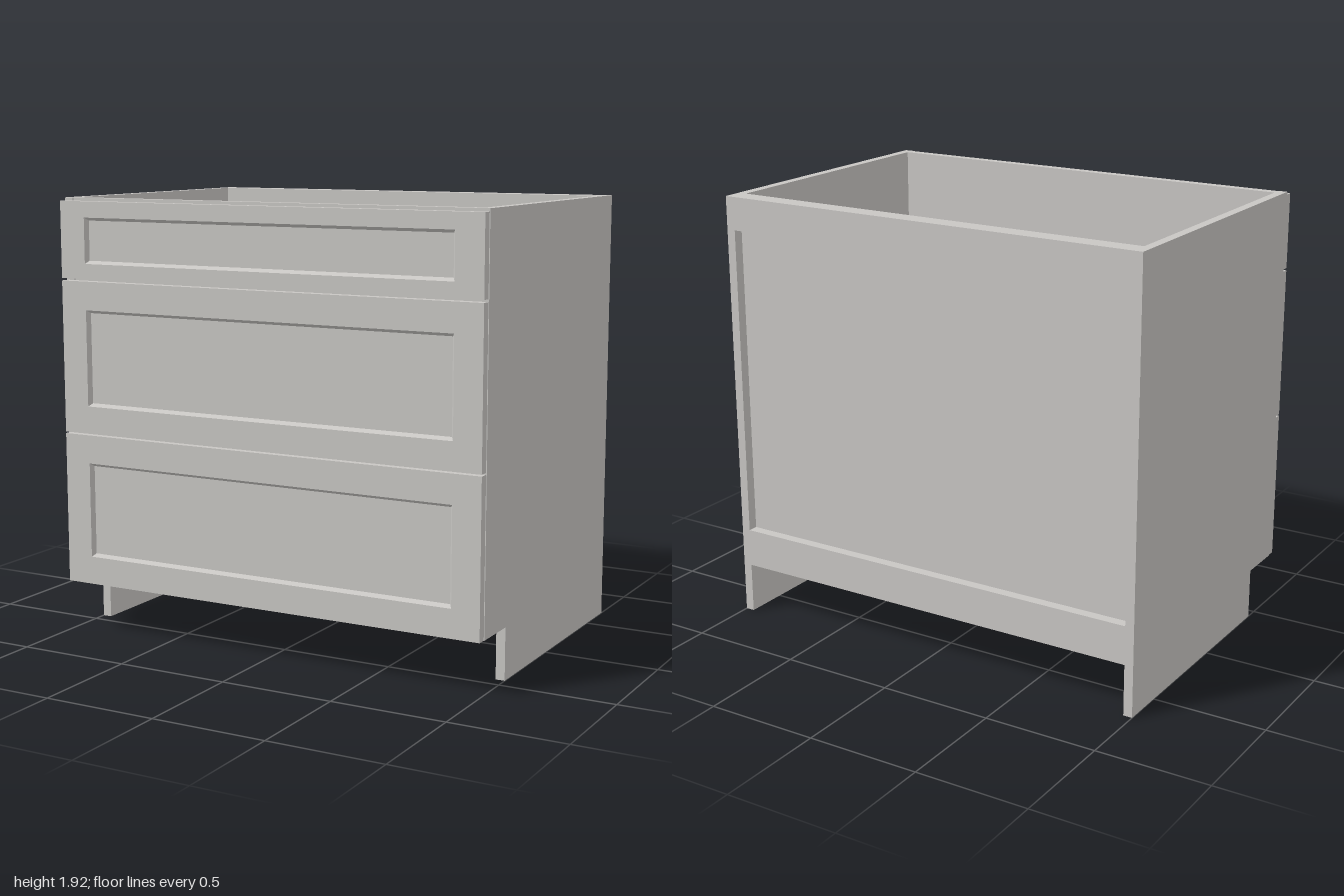
import * as THREE from 'three';

export function createModel() {
  const model = new THREE.Group();
  model.name = 'drawerCabinet';
  const paint = new THREE.MeshStandardMaterial({ color: 0xc8c6c3 });
  paint.name = 'warm grey';

  function add(parent, name, geometry) {
    const mesh = new THREE.Mesh(geometry, paint);
    mesh.name = name;
    parent.add(mesh);
    return mesh;
  }

  // Box given by its limits on each axis
  function slab(parent, name, [x0, x1], [y0, y1], [z0, z1]) {
    const mesh = add(parent, name, new THREE.BoxGeometry(x1 - x0, y1 - y0, z1 - z0));
    mesh.position.set((x0 + x1) / 2, (y0 + y1) / 2, (z0 + z1) / 2);
    return mesh;
  }

  // Drawer front: rectangular rings from the back face, over the edge, into a sunk panel
  function frontGeometry(y0, y1, holeY0, holeY1) {
    const back = 0.65, face = 0.69, sunk = 0.672, holeX = 0.873, slope = 0.013;
    const ring = (x, a, b, z) => [[-x, a, z], [x, a, z], [x, b, z], [-x, b, z]];
    const rings = [
      ring(0.997, y0, y1, back),
      ring(0.997, y0, y1, face),
      ring(holeX, holeY0, holeY1, face),
      ring(holeX - slope, holeY0 + slope, holeY1 - slope, sunk),
    ];
    const pos = [];
    const quad = (a, b, c, d) => pos.push(...a, ...b, ...c, ...a, ...c, ...d);
    for (let r = 0; r < rings.length - 1; r++) {
      for (let i = 0; i < 4; i++) {
        const j = (i + 1) % 4;
        quad(rings[r][i], rings[r][j], rings[r + 1][j], rings[r + 1][i]);
      }
    }
    quad(...rings[3]);
    quad(...[...rings[0]].reverse());
    const g = new THREE.BufferGeometry();
    g.setAttribute('position', new THREE.Float32BufferAttribute(pos, 3));
    g.computeVertexNormals();
    return g;
  }

  // Side panels with a toe notch; shape x runs along -z
  const side = new THREE.Shape();
  [[-0.44, 0], [0.69, 0], [0.69, 1.92], [-0.65, 1.92], [-0.65, 0.225], [-0.44, 0.225]]
    .forEach(([x, y], i) => (i ? side.lineTo(x, y) : side.moveTo(x, y)));
  const sideGeometry = new THREE.ExtrudeGeometry(side, { depth: 0.04, bevelEnabled: false });
  sideGeometry.rotateY(Math.PI / 2);
  add(model, 'rightSide', sideGeometry).position.x = -1;
  add(model, 'leftSide', sideGeometry).position.x = 0.96;

  // Carcass between the sides
  const inner = [-0.96, 0.96];
  slab(model, 'bottomPanel', inner, [0.225, 0.265], [-0.645, 0.645]);
  slab(model, 'backPanel', inner, [0.225, 1.92], [-0.645, -0.605]);
  slab(model, 'backTopRail', inner, [1.775, 1.92], [-0.69, -0.645]);
  slab(model, 'backBottomRail', inner, [0.225, 0.395], [-0.69, -0.645]);
  slab(model, 'frontTopRail', inner, [1.57, 1.92], [0.605, 0.645]);
  slab(model, 'frontStretcher', inner, [1.53, 1.57], [0.42, 0.645]);

  // Drawer fronts: bottom, top, panel bottom, panel top
  [
    ['bottomDrawerFront', 0.225, 0.892, 0.348, 0.767],
    ['middleDrawerFront', 0.899, 1.564, 1.02, 1.44],
    ['topFalseFront', 1.575, 1.907, 1.64, 1.838],
  ].forEach(([name, ...y]) => add(model, name, frontGeometry(...y)));

  // Thin-walled drawer boxes behind the two lower fronts
  function drawerBox(name, y0, y1, zBack) {
    const box = new THREE.Group();
    box.name = name;
    for (const s of [-1, 1]) {
      const x = [0.865 * s, 0.875 * s].sort((a, b) => a - b);
      slab(box, 'drawerSide', x, [y0, y1], [zBack, 0.65]);
    }
    slab(box, 'drawerBack', [-0.865, 0.865], [y0, y1], [zBack, zBack + 0.03]);
    slab(box, 'drawerBase', [-0.865, 0.865], [y0, y0 + 0.03], [zBack + 0.03, 0.65]);
    model.add(box);
  }
  drawerBox('bottomDrawerBox', 0.31, 0.66, -0.54);
  drawerBox('middleDrawerBox', 0.98, 1.33, -0.32);

  return model;
}
